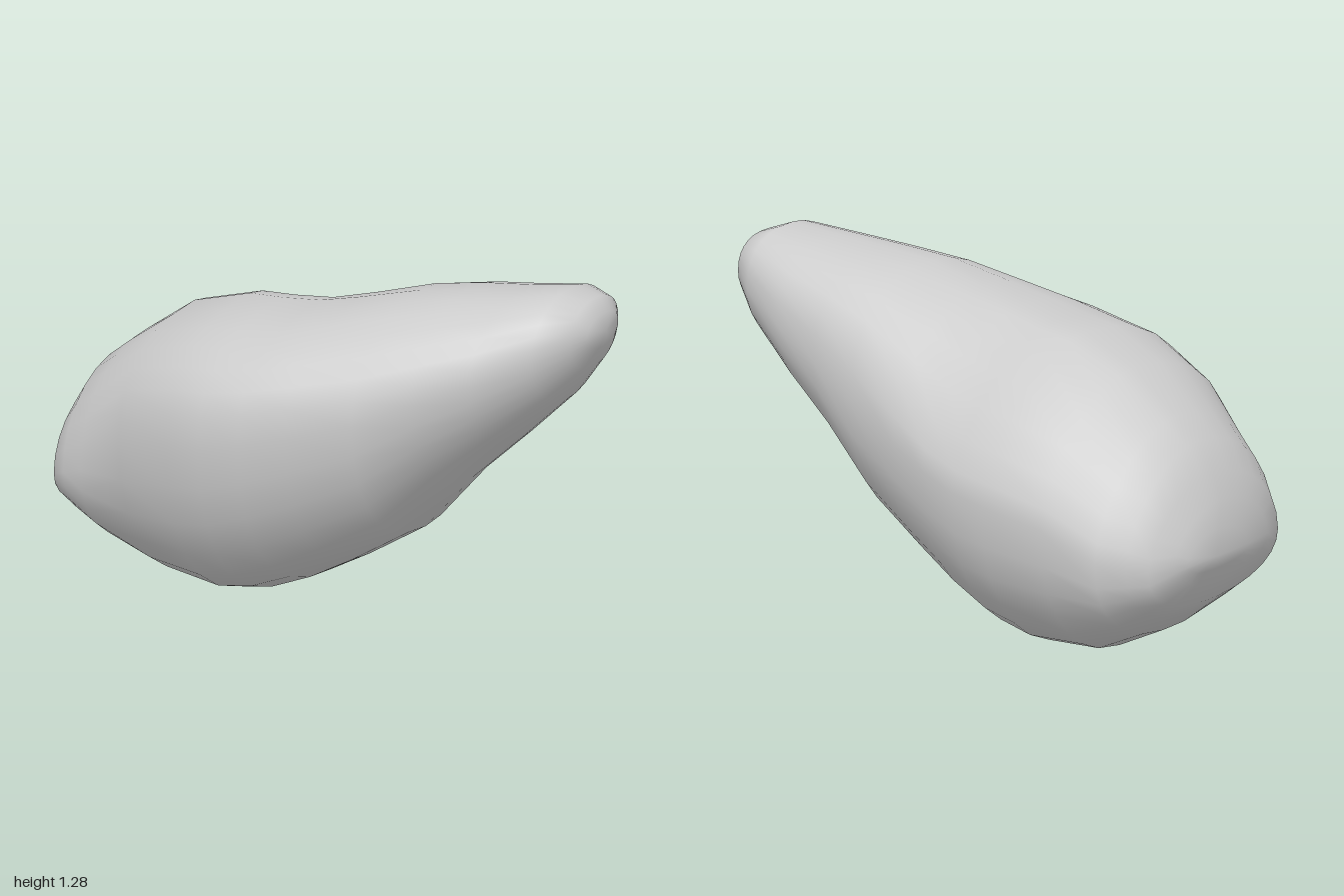
import * as THREE from 'three';

// Cross-sections along x: x, bottom y, top y, back z, front z
const SECTIONS = [
  [-0.985, 0.35, 0.49, -0.21, 0.11],
  [-0.96, 0.30, 0.58, -0.25, 0.24],
  [-0.92, 0.22, 0.67, -0.34, 0.34],
  [-0.86, 0.17, 0.775, -0.39, 0.375],
  [-0.77, 0.10, 0.85, -0.45, 0.405],
  [-0.58, 0.015, 0.99, -0.52, 0.46],
  [-0.34, 0.0, 1.07, -0.55, 0.535],
  [-0.20, 0.03, 1.085, -0.545, 0.55],
  [-0.04, 0.10, 1.11, -0.52, 0.545],
  [0.12, 0.19, 1.15, -0.49, 0.49],
  [0.34, 0.33, 1.21, -0.46, 0.41],
  [0.52, 0.54, 1.235, -0.445, 0.32],
  [0.70, 0.71, 1.255, -0.425, 0.22],
  [0.87, 0.88, 1.28, -0.39, 0.09],
  [0.95, 1.0, 1.25, -0.345, -0.03],
  [0.985, 1.08, 1.20, -0.29, -0.09],
];
const SIDES = 28;
const { clamp, lerp, smoothstep } = THREE.MathUtils;

// Point on a section whose four quarters have their own roundness
function sectionPoint([x, y0, y1, z0, z1], angle) {
  const c = Math.cos(angle), s = Math.sin(angle);
  const body = clamp((0.9 - x) / 0.9, 0, 1);
  const bluntEnd = smoothstep(-x, 0.5, 0.95);
  const neck = smoothstep(x, -0.1, 0.5);

  // The widest height sags toward the blunt end
  const rise = c > 0 ? lerp(0.13 * body, -0.1, bluntEnd) : lerp(0.02, -0.15, bluntEnd);
  const yWide = (y0 + y1) / 2 + rise * (y1 - y0) * Math.abs(c);
  const zMid = (z0 + z1) / 2 - (s < 0 ? 0.07 * body * s * s : 0);

  let n = 2;
  if (s > 0) n = c > 0 ? 2 + 0.5 * (1 - bluntEnd) * (1 - neck) : lerp(1.6, 2.4, neck);
  else if (c < 0) n = 2 + 0.25 * body + 0.4 * bluntEnd;
  const bend = (v) => Math.sign(v) * Math.pow(Math.abs(v), 2 / n);
  const y = yWide + bend(s) * (s > 0 ? y1 - yWide : yWide - y0);
  const z = zMid + bend(c) * (c > 0 ? z1 - zMid : zMid - z0);
  return [x, y, z];
}

// Skin the rings and close both ends with a single point
function bodyGeometry() {
  const positions = [], index = [];
  for (const section of SECTIONS)
    for (let i = 0; i < SIDES; i++)
      positions.push(...sectionPoint(section, (i / SIDES) * Math.PI * 2));
  const last = SECTIONS.length - 1;
  const blunt = positions.length / 3, tip = blunt + 1;
  positions.push(-1, 0.40, -0.07, 1, 1.14, -0.19);

  // Angle runs from front to top, so this order faces outward
  for (let i = 0; i < SIDES; i++) {
    const j = (i + 1) % SIDES;
    for (let r = 0; r < last; r++) {
      const a = r * SIDES + i, b = r * SIDES + j;
      const c = a + SIDES, d = b + SIDES;
      index.push(a, c, b, b, c, d);
    }
    index.push(blunt, i, j);
    index.push(tip, last * SIDES + j, last * SIDES + i);
  }
  const geometry = new THREE.BufferGeometry();
  geometry.setAttribute('position', new THREE.Float32BufferAttribute(positions, 3));
  geometry.setIndex(index);
  geometry.computeVertexNormals();
  return geometry;
}

export function createModel() {
  const group = new THREE.Group();
  const material = new THREE.MeshStandardMaterial({ color: 0xcccccc });
  const body = new THREE.Mesh(bodyGeometry(), material);
  body.name = 'stoneBody';
  group.add(body);
  return group;
}
